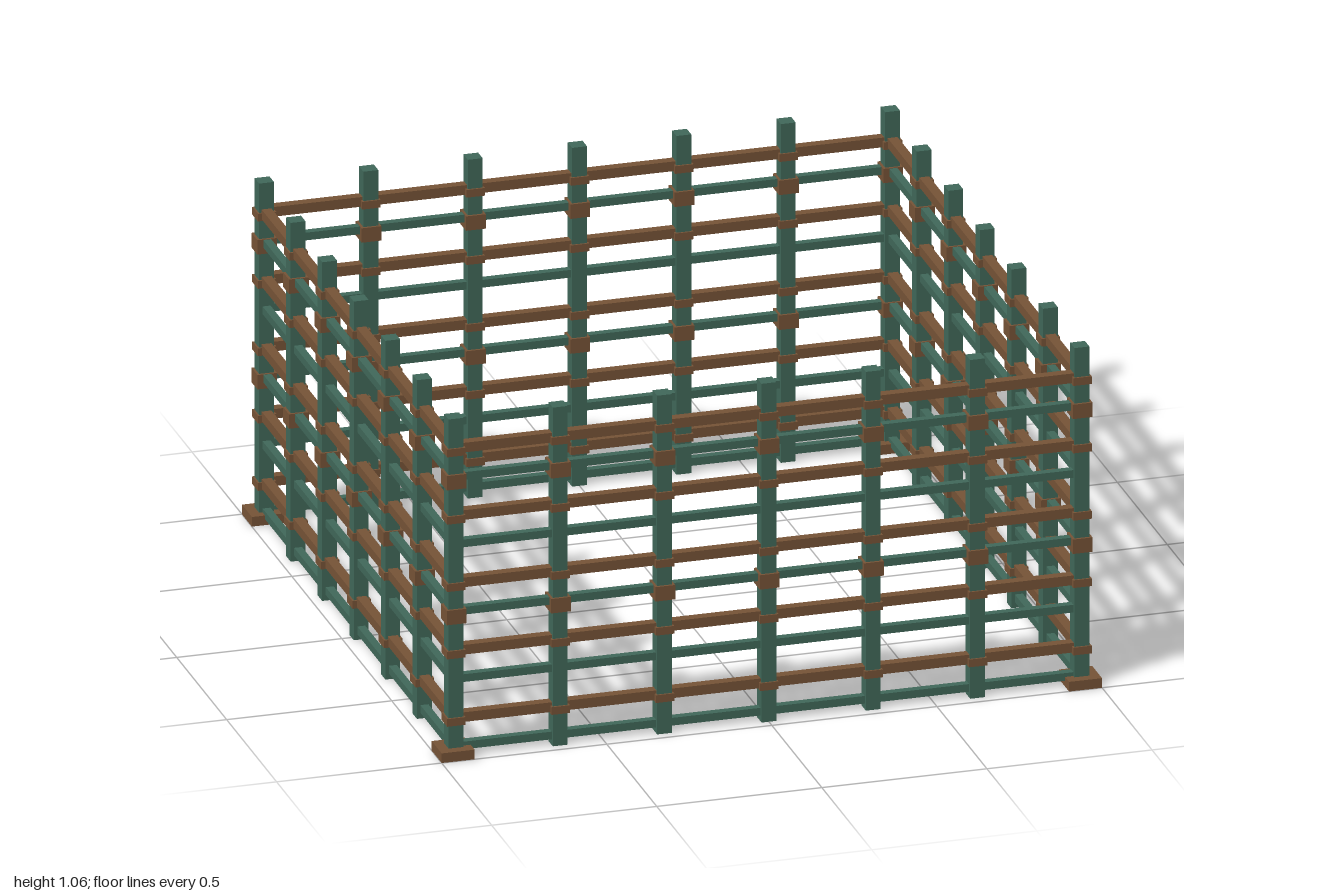
import * as THREE from 'three';

const EDGE = 0.948; // distance from the centre to each fence line
const STEP = EDGE / 3; // spacing between posts
const LEVEL = 0.2108; // spacing between matching rails

export function createModel() {
  const model = new THREE.Group();
  model.name = 'fencedPen';

  const green = new THREE.MeshStandardMaterial({ color: 0x41695a });
  green.name = 'green paint';
  const brown = new THREE.MeshStandardMaterial({ color: 0x775437 });
  brown.name = 'brown wood';

  function box(parent, name, material, size, position) {
    const mesh = new THREE.Mesh(new THREE.BoxGeometry(...size), material);
    mesh.name = name;
    mesh.position.set(...position);
    parent.add(mesh);
  }

  // One wall per side, each owning the corner post at its left end
  for (let s = 0; s < 4; s++) {
    const wall = new THREE.Group();
    wall.name = ['frontWall', 'leftWall', 'backWall', 'rightWall'][s];
    wall.rotation.y = s * Math.PI / 2;
    model.add(wall);

    // Alternating brown and green rails
    for (let i = 0; i < 5; i++) {
      box(wall, 'brownRail', brown, [EDGE * 2, 0.03, 0.03], [0, 0.12 + i * LEVEL, EDGE]);
      box(wall, 'greenRail', green, [EDGE * 2, 0.024, 0.024], [0, 0.03 + i * LEVEL, EDGE]);
    }

    for (let p = -2; p <= 3; p++) {
      const x = p * STEP;
      box(wall, 'post', green, [0.045, 1.06, 0.045], [x, 0.53, EDGE]);

      // Thin bands under the brown rails
      for (let i = 0; i < 5; i++) {
        box(wall, 'railBand', brown, [0.056, 0.024, 0.056], [x, 0.113 + i * LEVEL, EDGE]);
      }
      // Heavy clamps at two heights
      for (const y of [0.442, 0.864]) {
        box(wall, 'clamp', brown, [0.06, 0.045, 0.06], [x, y, EDGE]);
      }
    }

    // Corner foot
    box(wall, 'cornerFoot', brown, [0.1, 0.03, 0.1], [0.95, 0.015, 0.95]);
  }
  return model;
}
